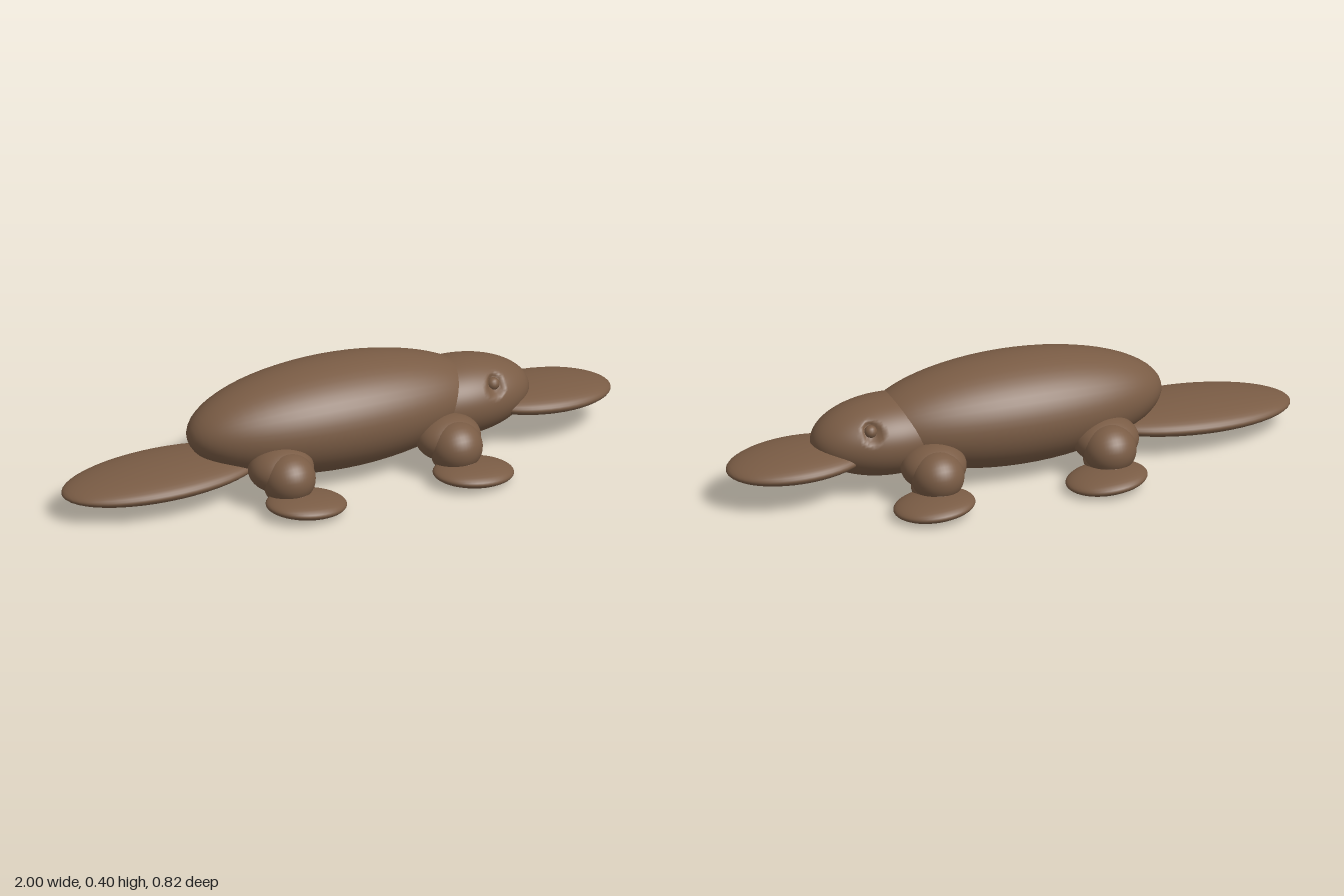
import * as THREE from 'three';

const fur = new THREE.MeshStandardMaterial({ color: 0x7a5c45 });

// Ellipsoid with its poles along x, tilted about z
function ellipsoid(name, center, radii, tilt = 0, w = 32, h = 24) {
  const geo = new THREE.SphereGeometry(1, w, h);
  geo.rotateZ(-Math.PI / 2);
  geo.scale(...radii);
  const mesh = new THREE.Mesh(geo, fur);
  mesh.name = name;
  mesh.position.set(...center);
  mesh.rotation.z = tilt;
  return mesh;
}

// Push the head surface inward around each eye to form shallow sockets
function carveSockets(head, eye, radius, depth) {
  const pos = head.geometry.attributes.position;
  const p = new THREE.Vector3();
  for (let i = 0; i < pos.count; i++) {
    p.fromBufferAttribute(pos, i);
    const d = Math.hypot(p.x + head.position.x - eye.x, p.y + head.position.y - eye.y);
    if (d < radius) {
      pos.setZ(i, p.z - Math.sign(p.z) * depth * Math.min(1, 2 * (1 - d / radius)));
    }
  }
  head.geometry.computeVertexNormals();
}

// Thigh, shank and broad webbed foot; side is +1 or -1 along z
function leg(name, x, side) {
  const g = new THREE.Group();
  g.name = name;
  const thigh = ellipsoid('thigh', [x, 0.13, side * 0.175], [0.112, 0.078, 0.105]);
  const shank = ellipsoid('shank', [x + 0.005, 0.115, side * 0.226], [0.09, 0.085, 0.092]);
  const ankle = ellipsoid('ankle', [x + 0.01, 0.065, side * 0.21], [0.075, 0.05, 0.1]);
  const foot = ellipsoid('foot', [x + 0.04, 0.041, side * 0.29], [0.14, 0.034, 0.118], -0.07);
  g.add(thigh, shank, ankle, foot);
  return g;
}

export function createModel() {
  const model = new THREE.Group();
  model.name = 'platypus';

  // Body and flat tail
  model.add(ellipsoid('body', [-0.01, 0.217, 0], [0.53, 0.188, 0.225], 0, 48, 32));
  model.add(ellipsoid('tail', [-0.64, 0.103, 0], [0.36, 0.048, 0.18], 0.04, 40, 24));

  // Head with eye sockets, eyes and bill
  const head = ellipsoid('head', [0.43, 0.192, 0], [0.27, 0.134, 0.166], 0, 96, 72);
  carveSockets(head, { x: 0.53, y: 0.257 }, 0.036, 0.025);
  model.add(head);
  model.add(ellipsoid('bill', [0.75, 0.144, 0], [0.25, 0.045, 0.163], -0.05, 40, 24));
  for (const side of [1, -1]) {
    model.add(ellipsoid(side > 0 ? 'rightEye' : 'leftEye', [0.53, 0.257, side * 0.105], [0.022, 0.022, 0.022], 0, 16, 12));
  }

  // Four legs
  for (const side of [1, -1]) {
    const label = side > 0 ? 'Right' : 'Left';
    model.add(leg('front' + label + 'Leg', 0.332, side));
    model.add(leg('hind' + label + 'Leg', -0.282, side));
  }
  return model;
}
